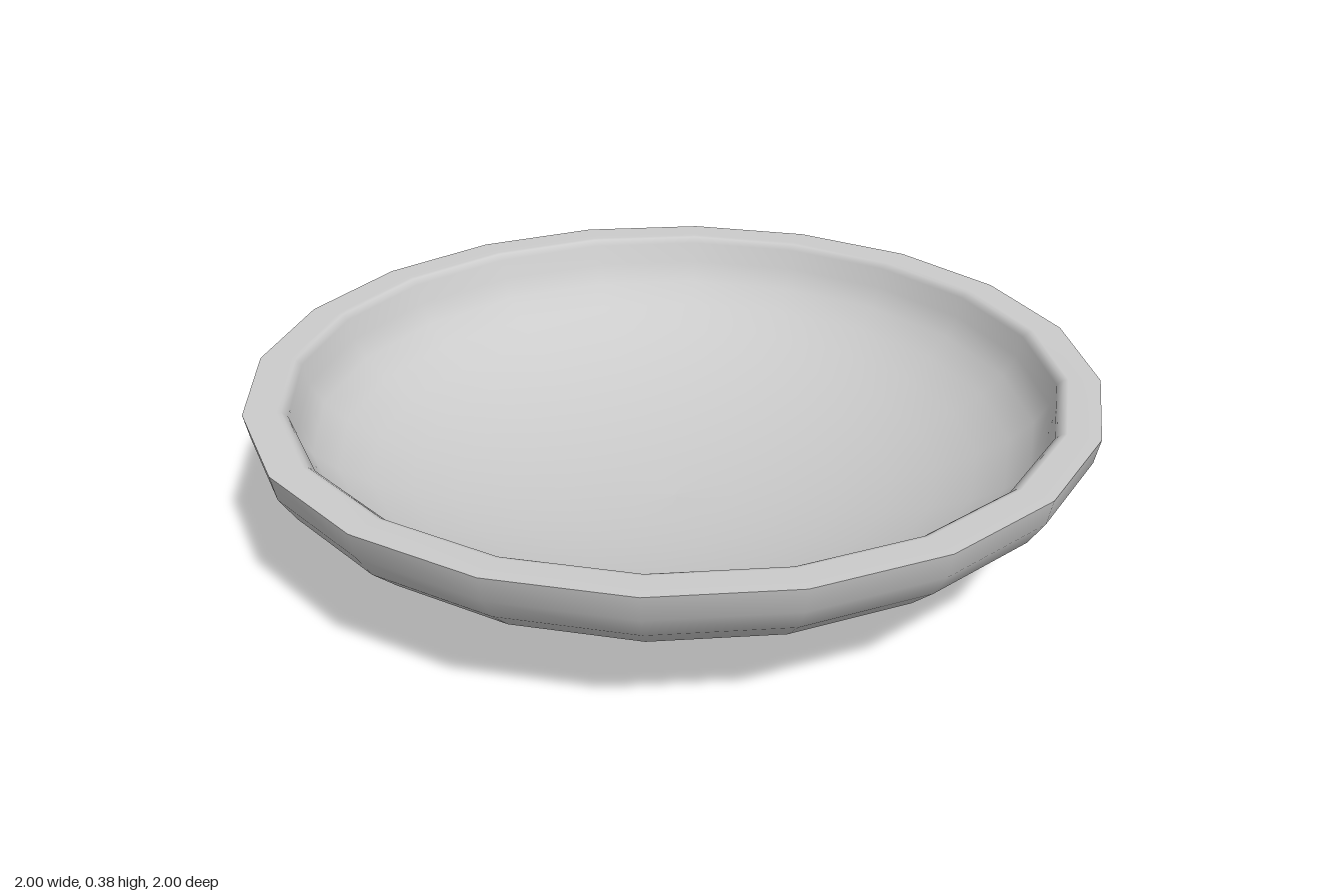
import * as THREE from 'three';

const SIDES = 20;      // facets around the bowl
const RINGS = 10;      // profile steps from pole to rim
const HEIGHT = 0.377;

// Half-ellipse profile, ordered pole to rim
function profile(radius, depth, top) {
  const points = [];
  for (let i = 0; i <= RINGS; i++) {
    const a = (i / RINGS) * Math.PI / 2;
    points.push(new THREE.Vector2(radius * Math.sin(a), top - depth * Math.cos(a)));
  }
  return points;
}

export function createModel() {
  const group = new THREE.Group();
  group.name = 'bowl';
  const material = new THREE.MeshStandardMaterial({ color: 0xcccccc });

  const addLathe = (name, points) => {
    const mesh = new THREE.Mesh(new THREE.LatheGeometry(points, SIDES), material);
    mesh.name = name;
    group.add(mesh);
  };

  addLathe('outerShell', profile(1, HEIGHT, HEIGHT));

  // Flat rim rolling softly over into the hollow
  addLathe('rimAndHollow', [
    new THREE.Vector2(1, HEIGHT),
    new THREE.Vector2(0.925, HEIGHT),
    new THREE.Vector2(0.915, HEIGHT - 0.002),
    ...profile(0.9, 0.327, 0.362).reverse(),
  ]);

  return group;
}
